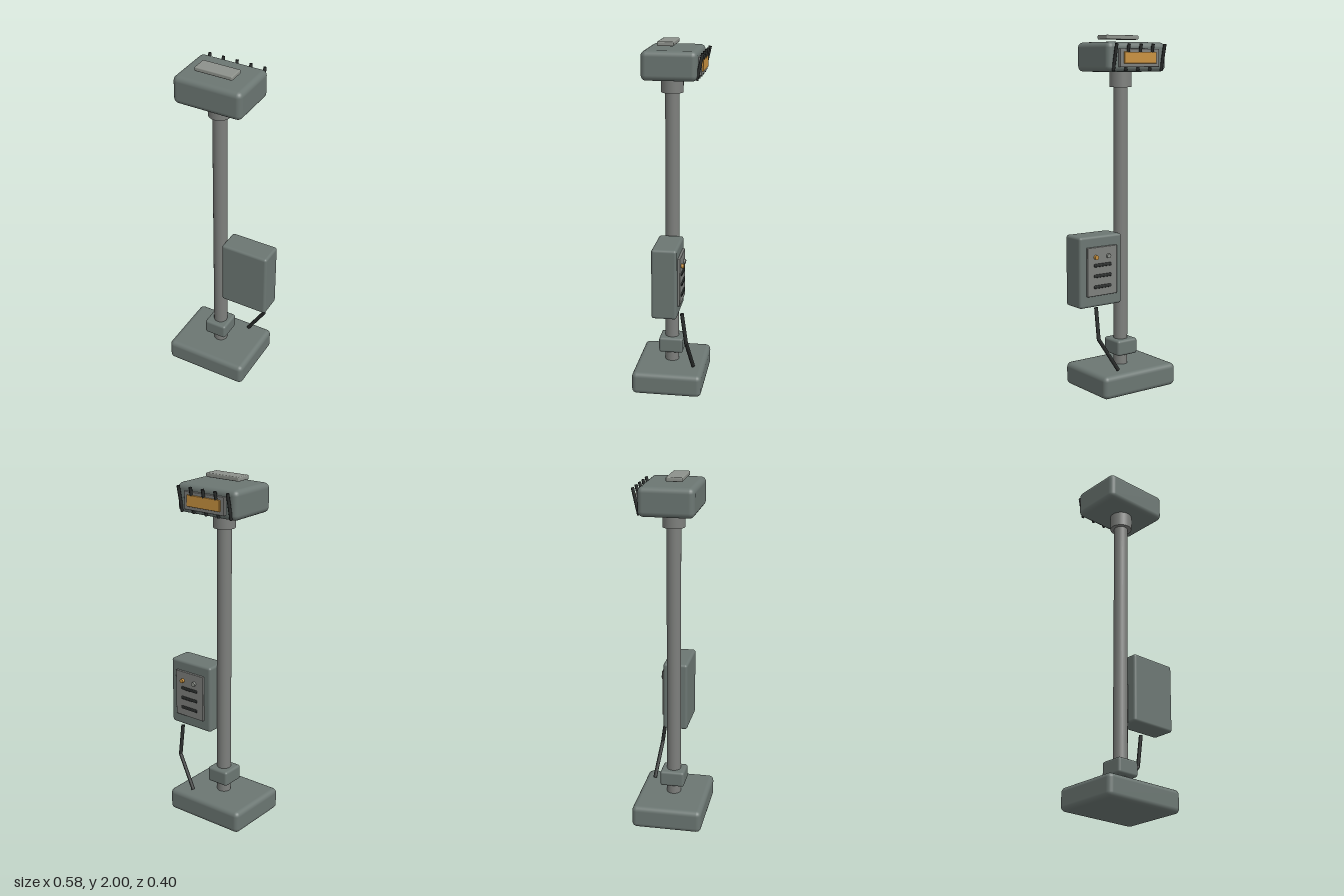
import * as THREE from 'three';
import { RoundedBoxGeometry } from 'three/addons/geometries/RoundedBoxGeometry.js';

const mat = (color) => new THREE.MeshStandardMaterial({ color });

export function createModel() {
  const model = new THREE.Group();
  const body = mat(0x6b7672), pole = mat(0x7d7f7c), plate = mat(0x8d918b);
  const amber = mat(0xc8913f), dark = mat(0x2a2d2c);
  const poleX = -0.04;

  function add(name, geometry, material, x, y, z) {
    const mesh = new THREE.Mesh(geometry, material);
    mesh.name = name;
    mesh.position.set(x, y, z);
    model.add(mesh);
    return mesh;
  }

  // Rounded box given by its limits on each axis
  function block(name, [x0, x1], [y0, y1], [z0, z1], radius, material) {
    const geometry = new RoundedBoxGeometry(x1 - x0, y1 - y0, z1 - z0, 3, radius);
    return add(name, geometry, material, (x0 + x1) / 2, (y0 + y1) / 2, (z0 + z1) / 2);
  }

  // Round bar between two points
  function rod(name, from, to, radius, material, sides = 10) {
    const a = new THREE.Vector3(...from), b = new THREE.Vector3(...to);
    const mid = a.clone().add(b).multiplyScalar(0.5);
    const mesh = add(name, new THREE.CylinderGeometry(radius, radius, a.distanceTo(b), sides), material, mid.x, mid.y, mid.z);
    mesh.quaternion.setFromUnitVectors(new THREE.Vector3(0, 1, 0), b.sub(a).normalize());
    return mesh;
  }

  // Base, column and collars
  block('base', [-0.29, 0.21], [0, 0.13], [-0.2, 0.2], 0.028, body);
  rod('column', [poleX, 0.1, 0], [poleX, 1.82, 0], 0.04, pole, 28);
  block('lowerCollar', [-0.11, 0.026], [0.19, 0.28], [-0.07, 0.07], 0.014, body);
  rod('upperCollar', [poleX, 1.715, 0], [poleX, 1.81, 0], 0.062, pole, 28);

  // Head with a raised plate above it
  block('head', [-0.24, 0.16], [1.8, 1.96], [-0.16, 0.145], 0.03, body);
  block('topPlate', [-0.15, 0.07], [1.976, 2], [-0.023, 0.068], 0.006, plate);

  // Rear window of the head behind five slanted guard bars
  block('windowFrame', [-0.173, 0.093], [1.826, 1.924], [-0.177, -0.157], 0.003, pole);
  block('window', [-0.15, 0.07], [1.845, 1.907], [-0.185, -0.175], 0.003, amber);
  for (let i = -2; i <= 2; i++) {
    const x = poleX + i * 0.082;
    rod('guardBar', [x, 1.806, -0.155], [x, 1.95, -0.187], 0.009, dark, 8);
  }

  // Control box beside the column, its panel facing the rear
  block('controlBox', [0.005, 0.29], [0.505, 0.905], [-0.073, 0.068], 0.015, body);
  block('controlPanel', [0.048, 0.247], [0.57, 0.845], [-0.087, -0.07], 0.004, pole);
  rod('amberKnob', [0.195, 0.79, -0.08], [0.195, 0.79, -0.102], 0.0125, amber, 16);
  rod('greyKnob', [0.11, 0.79, -0.08], [0.11, 0.79, -0.1], 0.0125, plate, 16);
  for (const y of [0.743, 0.683, 0.622]) {
    block('slot', [0.09, 0.205], [y - 0.009, y + 0.009], [-0.094, -0.082], 0.005, dark);
  }

  // Bent cable from the control box down to the base
  const elbow = [0.195, 0.33, -0.115];
  rod('upperCable', [0.195, 0.508, -0.09], elbow, 0.011, dark);
  rod('lowerCable', elbow, [0.08, 0.142, -0.14], 0.011, dark);
  add('cableElbow', new THREE.SphereGeometry(0.011, 10, 8), dark, ...elbow);

  return model;
}
